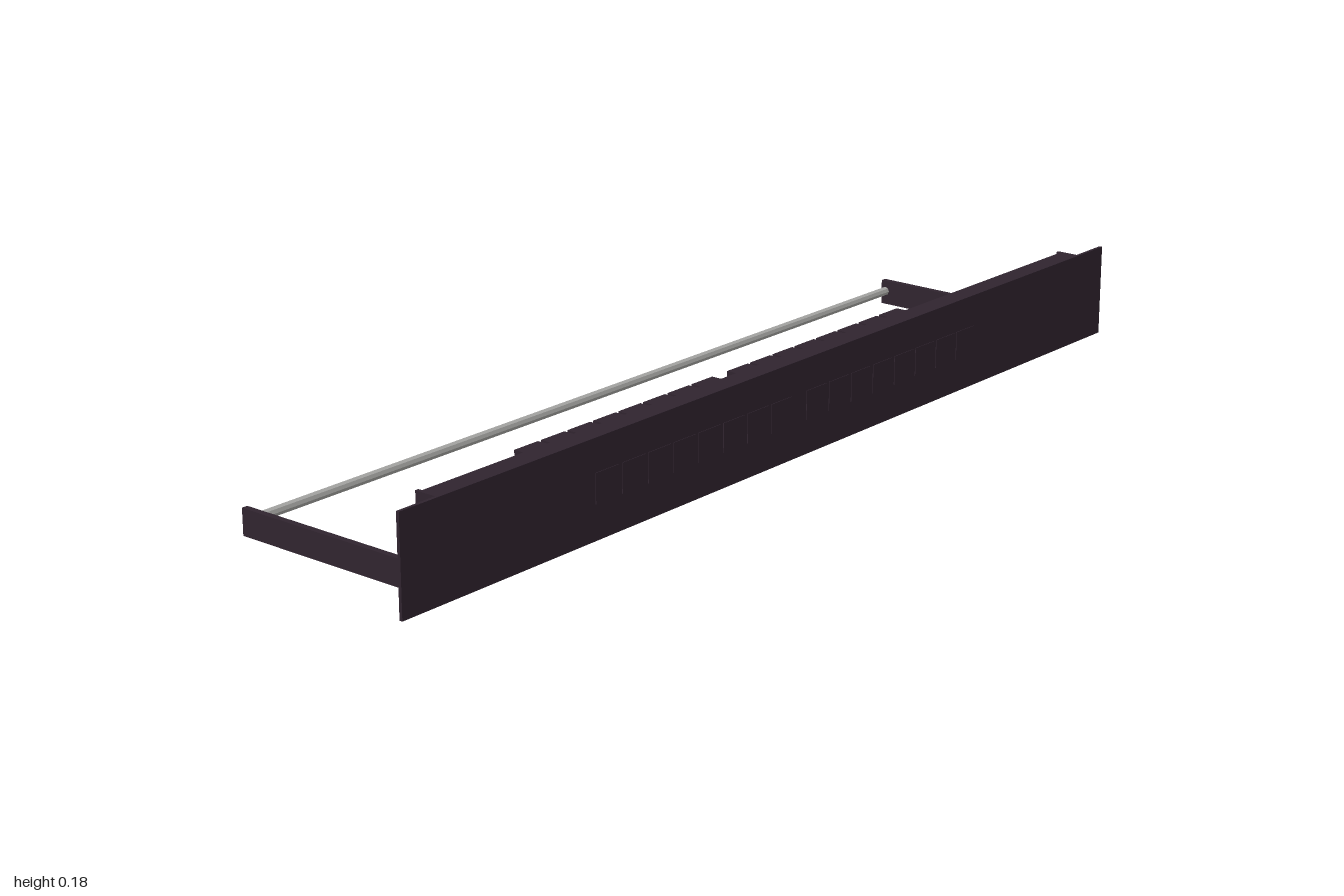
import * as THREE from 'three';

export function createModel() {
  const model = new THREE.Group();
  model.name = 'rackPanel';
  const darkMetal = new THREE.MeshStandardMaterial({ color: 0x30242f });
  darkMetal.name = 'darkMetal';
  const greyMetal = new THREE.MeshStandardMaterial({ color: 0xa6a6a4 });
  greyMetal.name = 'greyMetal';

  // Box given by its lower and upper limits on each axis
  function box(name, [x0, x1], [y0, y1], [z0, z1], parent = model) {
    const mesh = new THREE.Mesh(new THREE.BoxGeometry(x1 - x0, y1 - y0, z1 - z0), darkMetal);
    mesh.position.set((x0 + x1) / 2, (y0 + y1) / 2, (z0 + z1) / 2);
    mesh.name = name;
    parent.add(mesh);
  }

  // Front plate with folded top and bottom lips
  box('frontPlate', [-1, 1], [0, 0.181], [0.228, 0.2342]);
  box('topLip', [-0.908, 0.908], [0.175, 0.181], [0.193, 0.228]);
  box('bottomLip', [-0.908, 0.908], [0, 0.006], [0.193, 0.228]);

  // End flanges and rearward support arms
  for (const [side, s] of [['right', -1], ['left', 1]]) {
    const span = (a, b) => (s > 0 ? [a, b] : [-b, -a]);
    box(side + 'EndFlange', span(0.908, 0.915), [0, 0.181], [0.185, 0.228]);
    box(side + 'Arm', span(0.892, 0.904), [0, 0.05], [-0.235, 0.228]);
  }

  // Cable support bar joining the arms
  const bar = new THREE.Mesh(
    new THREE.CylinderGeometry(0.009, 0.009, 1.79, 8).toNonIndexed(), greyMetal);
  bar.geometry.computeVertexNormals();
  bar.name = 'cableBar';
  bar.rotation.z = Math.PI / 2;
  bar.position.set(0, 0.028, -0.225);
  model.add(bar);

  // Two banks of eight port modules passing through the plate
  for (const [name, start] of [['rightPortBank', -0.548], ['leftPortBank', 0.021]]) {
    const bank = new THREE.Group();
    bank.name = name;
    for (let i = 0; i < 8; i++) {
      const x = start + i * 0.0667;
      box('portModule' + (i + 1), [x, x + 0.059], [0.065, 0.12], [0.052, 0.2355], bank);
    }
    model.add(bank);
  }
  return model;
}
